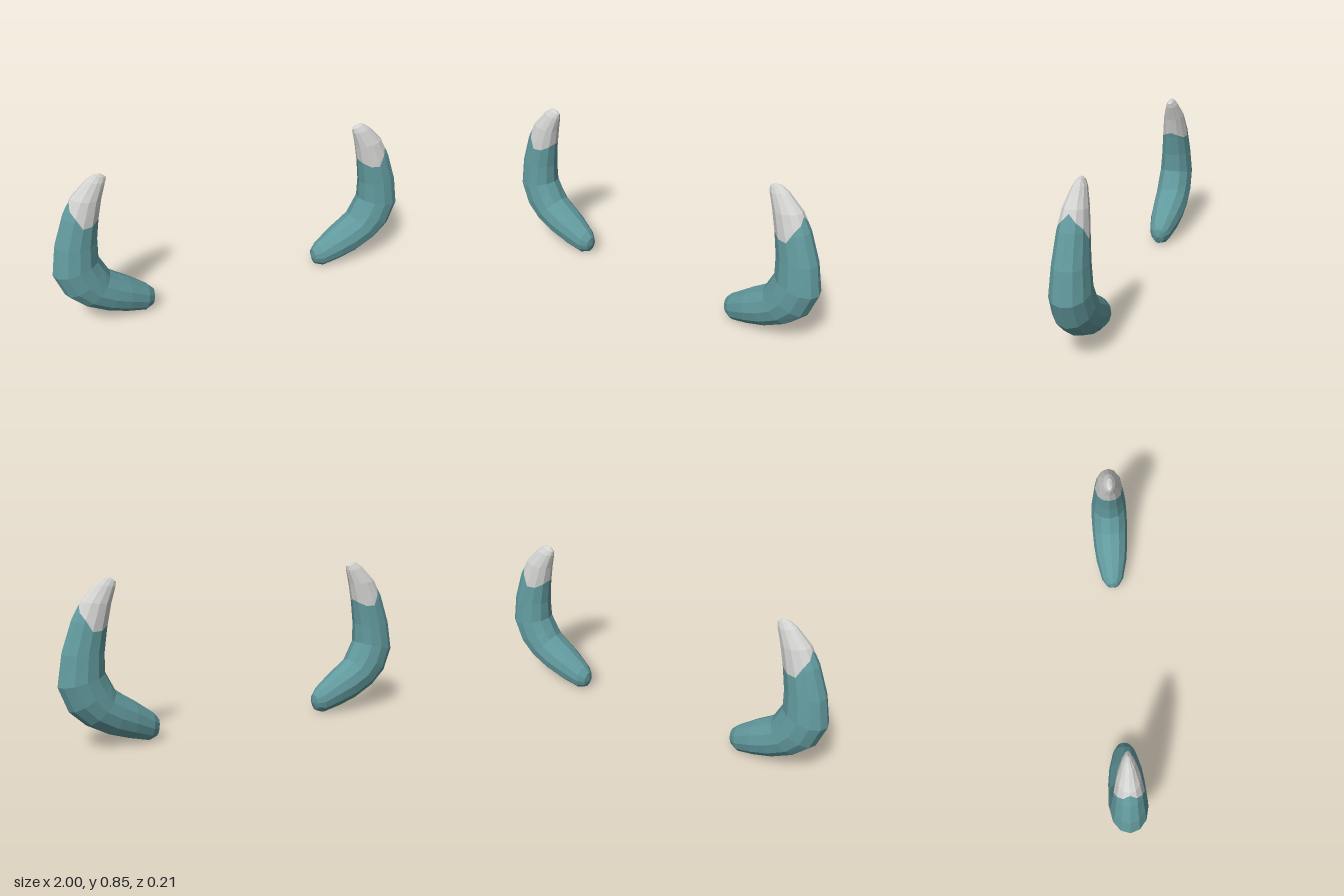
import * as THREE from 'three';

const SIDES = 12;

// Cross-sections from base to tip: outer x, outer y, inner x, inner y, half depth
const SECTIONS = [
  [0.475, 0.065, 0.475, 0.065, 0],
  [0.495, 0.02, 0.48, 0.115, 0.035],
  [0.54, 0.004, 0.51, 0.15, 0.062],
  [0.64, 0.03, 0.61, 0.225, 0.088],
  [0.745, 0.065, 0.67, 0.265, 0.098],
  [0.865, 0.13, 0.71, 0.295, 0.102],
  [0.95, 0.21, 0.735, 0.345, 0.103],
  [1.0, 0.34, 0.76, 0.395, 0.098],
  [0.975, 0.5, 0.757, 0.5, 0.086],
  [0.92, 0.66, 0.74, 0.615, 0.073],
  [0.87, 0.75, 0.715, 0.73, 0.058],
  [0.79, 0.83, 0.69, 0.81, 0.032],
  [0.75, 0.855, 0.687, 0.835, 0.016],
  [0.715, 0.857, 0.715, 0.857, 0],
];

// Height where the pale tip begins, from the outer edge round to the inner edge
const TIP_LINE = [0.735, 0.7, 0.667, 0.61, 0.61, 0.63, 0.645];

function ringPoint(i, j) {
  const [ox, oy, ix, iy, depth] = SECTIONS[i];
  const a = (j / SIDES) * Math.PI * 2;
  const k = (1 + Math.cos(a)) / 2;
  return new THREE.Vector3(ix + (ox - ix) * k, iy + (oy - iy) * k, depth * Math.sin(a));
}

// Point on lengthwise strand j at fractional section t
function strandPoint(t, j) {
  const i = Math.min(Math.floor(t), SECTIONS.length - 2);
  return ringPoint(i, j).lerp(ringPoint(i + 1, j), t - i);
}

// Section position at which strand j reaches the tip line
function tipStart(j) {
  const y = TIP_LINE[Math.min(j, SIDES - j)];
  let i = 7;
  while (ringPoint(i + 1, j).y < y) i++;
  const y0 = ringPoint(i, j).y;
  return i + (y - y0) / (ringPoint(i + 1, j).y - y0);
}

// Skin over the sections, with each strand clamped above or below the tip line
function hornGeometry(clamp) {
  const pos = [];
  const edge1 = new THREE.Vector3();
  const edge2 = new THREE.Vector3();
  const addTriangle = (a, b, c) => {
    edge1.subVectors(b, a);
    edge2.subVectors(c, a);
    if (edge1.cross(edge2).length() < 1e-8) return;
    for (const p of [a, b, c]) pos.push(p.x, p.y, p.z);
  };
  for (let i = 0; i < SECTIONS.length - 1; i++) {
    for (let j = 0; j < SIDES; j++) {
      const n = (j + 1) % SIDES;
      const at = (row, s) => strandPoint(clamp(row, tipStart(s)), s);
      const a = at(i, j), b = at(i + 1, j), c = at(i + 1, n), d = at(i, n);
      addTriangle(a, b, d);
      addTriangle(b, c, d);
    }
  }
  const geometry = new THREE.BufferGeometry();
  geometry.setAttribute('position', new THREE.Float32BufferAttribute(pos, 3));
  geometry.computeVertexNormals();
  return geometry;
}

export function createModel() {
  const model = new THREE.Group();
  model.name = 'hornPair';

  const teal = new THREE.MeshStandardMaterial({ color: 0x629a9e, flatShading: true });
  teal.name = 'teal';
  const pale = new THREE.MeshStandardMaterial({ color: 0xd2d2d1, flatShading: true });
  pale.name = 'paleGrey';

  const bodyGeometry = hornGeometry(Math.min);
  const tipGeometry = hornGeometry(Math.max);

  // The horn is symmetric front to back, so a half turn makes its partner
  for (const [side, turn] of [['left', 0], ['right', Math.PI]]) {
    const horn = new THREE.Group();
    horn.name = side + 'Horn';
    const body = new THREE.Mesh(bodyGeometry, teal);
    body.name = side + 'HornBody';
    const tip = new THREE.Mesh(tipGeometry, pale);
    tip.name = side + 'HornTip';
    horn.add(body, tip);
    horn.rotation.y = turn;
    model.add(horn);
  }
  return model;
}
